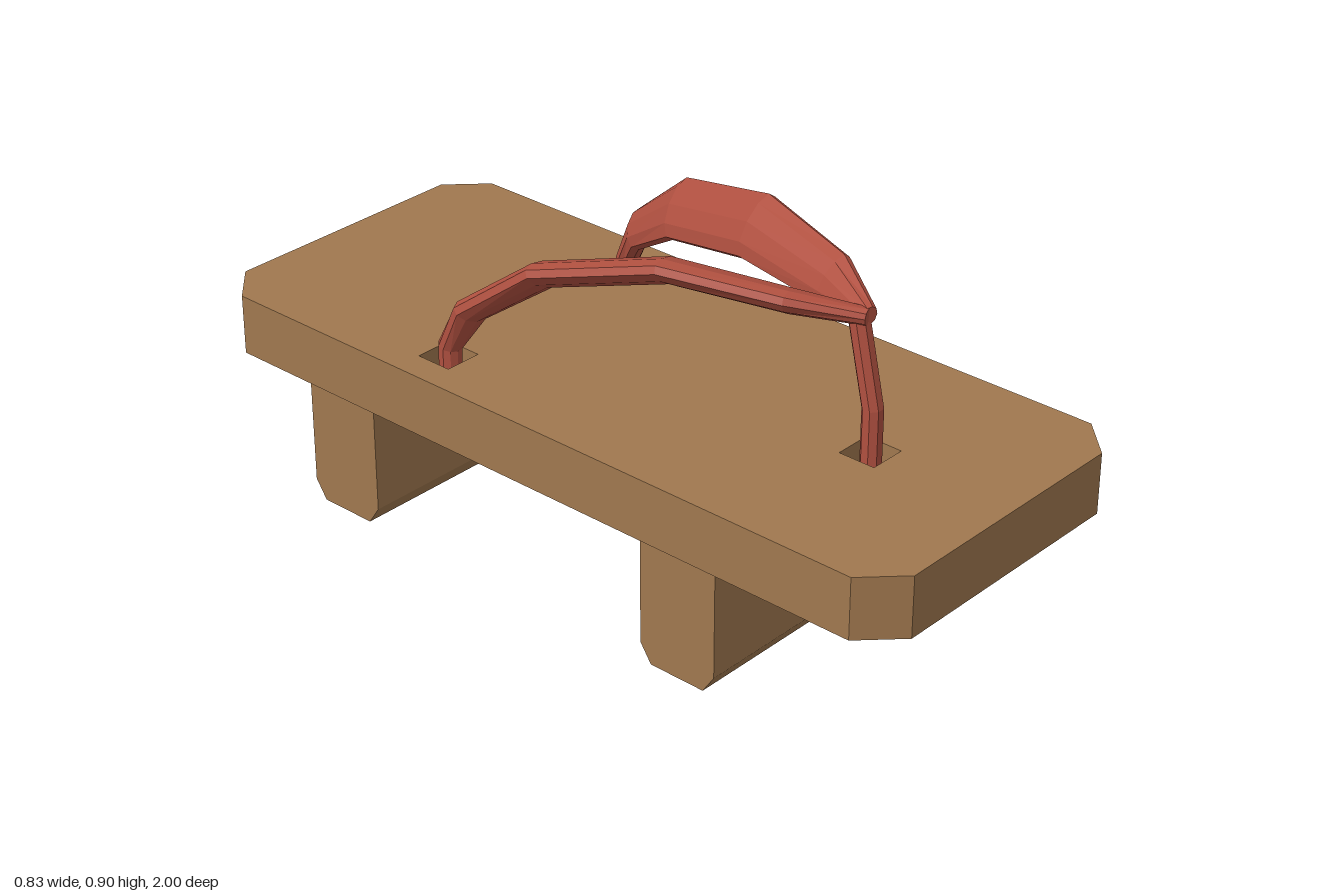
import * as THREE from 'three';

const wood = new THREE.MeshStandardMaterial({ color: 0xa0784f });
wood.name = 'wood';
const red = new THREE.MeshStandardMaterial({ color: 0xb05040 });
red.name = 'red cloth';
const darkRed = new THREE.MeshStandardMaterial({ color: 0x642f2a });
darkRed.name = 'dark red cord';

// Cord anchor points [x, z]
const anchors = [[0, 0.63], [0.296, -0.345], [-0.296, -0.345]];

function part(name, geometry, material) {
  const g = geometry.index ? geometry.toNonIndexed() : geometry;
  g.computeVertexNormals();
  const mesh = new THREE.Mesh(g, material);
  mesh.name = name;
  return mesh;
}

function polygon(points) {
  return new THREE.Shape(points.map(([x, y]) => new THREE.Vector2(x, y)));
}

// Elliptical sections [x, y, z, half width, half thickness] joined into a tube.
// "side" is the horizontal direction across the path; roll leans the wide axis towards it.
function loft(stations, side, sign, roll, sides = 10) {
  const centres = stations.map(([x, y, z]) => new THREE.Vector3(x, y, z));
  const positions = [], index = [];
  stations.forEach(([, , , a, b], i) => {
    const before = centres[Math.max(i - 1, 0)];
    const after = centres[Math.min(i + 1, centres.length - 1)];
    const tangent = after.clone().sub(before).normalize();
    const up = side.clone().cross(tangent).multiplyScalar(sign).normalize();
    const wide = up.clone().multiplyScalar(Math.cos(roll)).addScaledVector(side, Math.sin(roll));
    const thin = side.clone().multiplyScalar(Math.cos(roll)).addScaledVector(up, -Math.sin(roll));
    for (let j = 0; j < sides; j++) {
      const t = sign * (j + 0.5) / sides * Math.PI * 2;
      const p = centres[i].clone()
        .addScaledVector(wide, a * Math.cos(t)).addScaledVector(thin, b * Math.sin(t));
      positions.push(p.x, p.y, p.z);
    }
  });
  for (let i = 0; i < stations.length - 1; i++) {
    for (let j = 0; j < sides; j++) {
      const k = (j + 1) % sides;
      const a = i * sides + j, b = i * sides + k;
      index.push(a, b, a + sides, b, b + sides, a + sides);
    }
  }
  // Close both ends with fans
  const last = (stations.length - 1) * sides;
  for (let j = 1; j < sides - 1; j++) {
    index.push(0, j + 1, j, last, last + j, last + j + 1);
  }
  const g = new THREE.BufferGeometry();
  g.setAttribute('position', new THREE.Float32BufferAttribute(positions, 3));
  g.setIndex(index);
  return g;
}

export function createModel() {
  const model = new THREE.Group();
  model.name = 'woodenSandal';

  // Sole board with clipped corners and square cord holes
  const w = 0.415, c = 0.09;
  const outline = polygon([
    [-w + c, -1], [w - c, -1], [w, -1 + c], [w, 1 - c],
    [w - c, 1], [-w + c, 1], [-w, 1 - c], [-w, -1 + c],
  ]);
  const h = 0.047;
  for (const [x, z] of anchors) {
    outline.holes.push(polygon([[x - h, -z - h], [x - h, -z + h], [x + h, -z + h], [x + h, -z - h]]));
  }
  const board = new THREE.ExtrudeGeometry(outline, { depth: 0.15, bevelEnabled: false });
  board.rotateX(-Math.PI / 2).translate(0, 0.342, 0);
  model.add(part('sole', board, wood));

  // Two cross teeth with bevelled feet
  for (const [name, z] of [['frontTooth', 0.41], ['backTooth', -0.63]]) {
    const profile = polygon([
      [-0.075, 0], [0.075, 0], [0.106, 0.046], [0.106, 0.342], [-0.106, 0.342], [-0.106, 0.046],
    ]);
    const tooth = new THREE.ExtrudeGeometry(profile, { depth: 0.74, bevelEnabled: false });
    tooth.translate(0, 0, -0.37).rotateY(Math.PI / 2).translate(0, 0, z);
    model.add(part(name, tooth, wood));
  }

  // Cord knots under the sole
  anchors.forEach(([x, z], i) => {
    const knot = new THREE.CylinderGeometry(0.066, 0.066, 0.046, 8);
    knot.rotateY(Math.PI / 8).translate(x, 0.319, z);
    model.add(part(['frontKnot', 'leftKnot', 'rightKnot'][i], knot, darkRed));
  });

  // Toe post
  const post = loft([
    [0, 0.81, 0.585, 0.025, 0.025],
    [0, 0.6, 0.632, 0.025, 0.025],
    [0, 0.335, 0.632, 0.025, 0.025],
  ], new THREE.Vector3(1, 0, 0), 1, 0, 8);
  model.add(part('toePost', post, red));

  // Padded straps, each leaning outwards by its own angle
  for (const [name, s, roll] of [['leftStrap', 1, 0.61], ['rightStrap', -1, 1.15]]) {
    const strap = loft([
      [0, 0.81, 0.612, 0.024, 0.02],
      [s * 0.068, 0.82, 0.46, 0.062, 0.028],
      [s * 0.143, 0.828, 0.185, 0.08, 0.03],
      [s * 0.222, 0.748, -0.11, 0.077, 0.03],
      [s * 0.278, 0.62, -0.285, 0.056, 0.03],
      [s * 0.296, 0.52, -0.338, 0.029, 0.028],
      [s * 0.296, 0.335, -0.34, 0.028, 0.028],
    ], new THREE.Vector3(s * 0.955, 0, 0.297), s, roll);
    model.add(part(name, strap, red));
  }
  return model;
}
